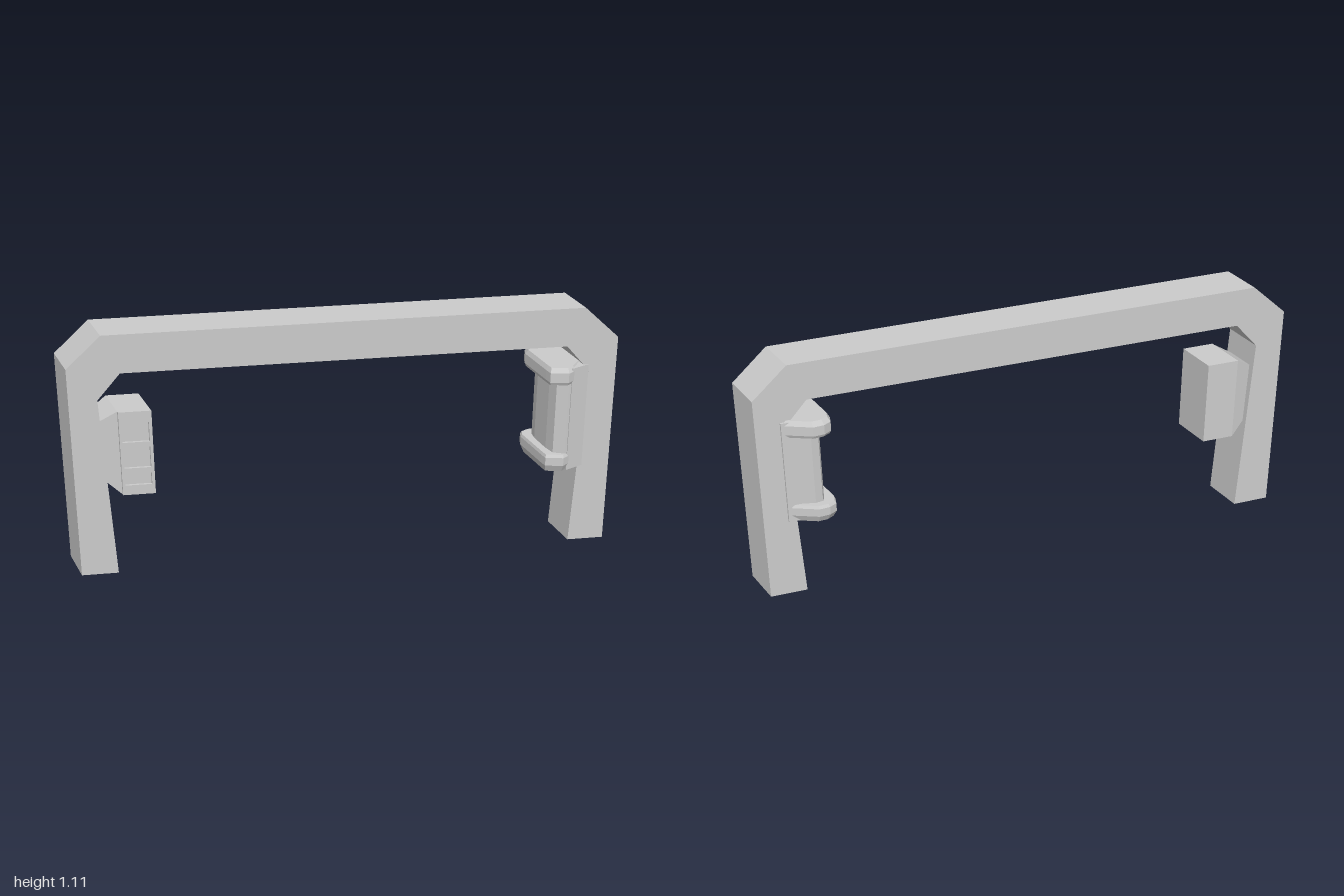
import * as THREE from 'three';

const material = new THREE.MeshStandardMaterial({ color: 0xcccccc, flatShading: true });

// Skewed frame of the arch: s runs along the beam, w (0..1) across its width
const skew = (s, y, w) => [s + (w - 0.5) * 0.165, y, -1.668 * s + (w - 0.5) * 0.045];

function addMesh(group, name, geometry) {
  geometry.computeVertexNormals();
  const mesh = new THREE.Mesh(geometry, material);
  mesh.name = name;
  group.add(mesh);
}

// Extrude an (s, y) outline between two positions across the width
function skewExtrude(shape, w0, w1) {
  const geometry = new THREE.ExtrudeGeometry(shape, { depth: w1 - w0, bevelEnabled: false });
  const p = geometry.attributes.position;
  for (let i = 0; i < p.count; i++) p.setXYZ(i, ...skew(p.getX(i), p.getY(i), p.getZ(i) + w0));
  return geometry;
}

const polygon = (points) => new THREE.Shape(points.map(([x, y]) => new THREE.Vector2(x, y)));
const rectangle = (x0, y0, x1, y1) => polygon([[x0, y0], [x1, y0], [x1, y1], [x0, y1]]);

// Closed solid through matching convex rings
function loft(rings) {
  const out = [];
  const tri = (a, b, c) => out.push(...a, ...b, ...c);
  const n = rings[0].length;
  for (let k = 0; k < rings.length - 1; k++) {
    const a = rings[k], b = rings[k + 1];
    for (let i = 0; i < n; i++) {
      const j = (i + 1) % n;
      tri(a[i], a[j], b[j]);
      tri(a[i], b[j], b[i]);
    }
  }
  const first = rings[0], last = rings[rings.length - 1];
  for (let i = 1; i < n - 1; i++) {
    tri(first[0], first[i + 1], first[i]);
    tri(last[0], last[i], last[i + 1]);
  }
  const geometry = new THREE.BufferGeometry();
  geometry.setAttribute('position', new THREE.Float32BufferAttribute(out, 3));
  return geometry;
}

// Plan outline (x, z) stacked upward as [height, scale] levels
function stack(outline, levels) {
  const cx = 0.475, cz = -0.79;
  return loft(levels.map(([y, k]) =>
    outline.map(([x, z]) => [cx + (x - cx) * k, y, cz + (z - cz) * k])));
}

// Ring across the beam direction, counter-clockwise when seen along +s
const crossRing = (s, y0, y1, w0, w1) =>
  [[y0, w0], [y1, w0], [y1, w1], [y0, w1]].map(([y, w]) => skew(s, y, w));

export function createModel() {
  const model = new THREE.Group();
  model.name = 'archway';

  // Chamfered arch with legs that widen toward the ground
  const half = [[0.5025, 0], [0.5825, 0], [0.5825, 0.965], [0.5075, 1.105]];
  const inner = [[0.4725, 0.935], [0.5225, 0.82]];
  const mirror = (points) => points.map(([x, y]) => [-x, y]).reverse();
  const outline = [...half, ...mirror(half), ...mirror(inner), ...inner];
  addMesh(model, 'arch', skewExtrude(polygon(outline), 0, 1));

  // Control panel on one leg: core, tapered mount and slotted cover
  const panel = new THREE.Group();
  panel.name = 'controlPanel';
  addMesh(panel, 'panelBody', loft([
    crossRing(-0.535, 0.475, 0.695, 0.2, 0.85),
    crossRing(-0.482, 0.375, 0.76, 0, 0.94),
    crossRing(-0.4125, 0.375, 0.76, 0, 0.94),
  ]));
  const cover = rectangle(-0.482, 0.375, -0.4125, 0.76);
  for (const [y0, y1] of [[0.42, 0.475], [0.5, 0.595], [0.62, 0.71]]) {
    cover.holes.push(rectangle(-0.476, y0, -0.419, y1));
  }
  addMesh(panel, 'panelCover', skewExtrude(cover, 0.94, 1));
  model.add(panel);

  // Faceted column between two flanges on the other leg
  const fixture = new THREE.Group();
  fixture.name = 'columnFixture';
  const flange = [[0.32, -0.755], [0.345, -0.735], [0.515, -0.69], [0.55, -0.682], [0.6, -0.74],
    [0.596, -0.775], [0.56, -0.86], [0.435, -0.9], [0.34, -0.83], [0.32, -0.79]];
  const column = [[0.36, -0.79], [0.37, -0.775], [0.405, -0.757], [0.5, -0.73], [0.55, -0.723],
    [0.59, -0.755], [0.594, -0.78], [0.6, -0.85], [0.44, -0.89], [0.37, -0.82]];
  const bracket = [[0.38, -0.815], [0.595, -0.765], [0.606, -0.86], [0.44, -0.91]];
  addMesh(fixture, 'column', stack(column, [[0.42, 1], [0.81, 1]]));
  addMesh(fixture, 'bottomFlange', stack(flange, [[0.367, 0.88], [0.4, 1], [0.437, 1], [0.45, 0.95]]));
  addMesh(fixture, 'topFlange', stack(flange, [[0.778, 0.95], [0.792, 1], [0.835, 1], [0.855, 0.9]]));
  addMesh(fixture, 'bracket', stack(bracket, [[0.37, 1], [0.848, 1]]));
  model.add(fixture);

  return model;
}
